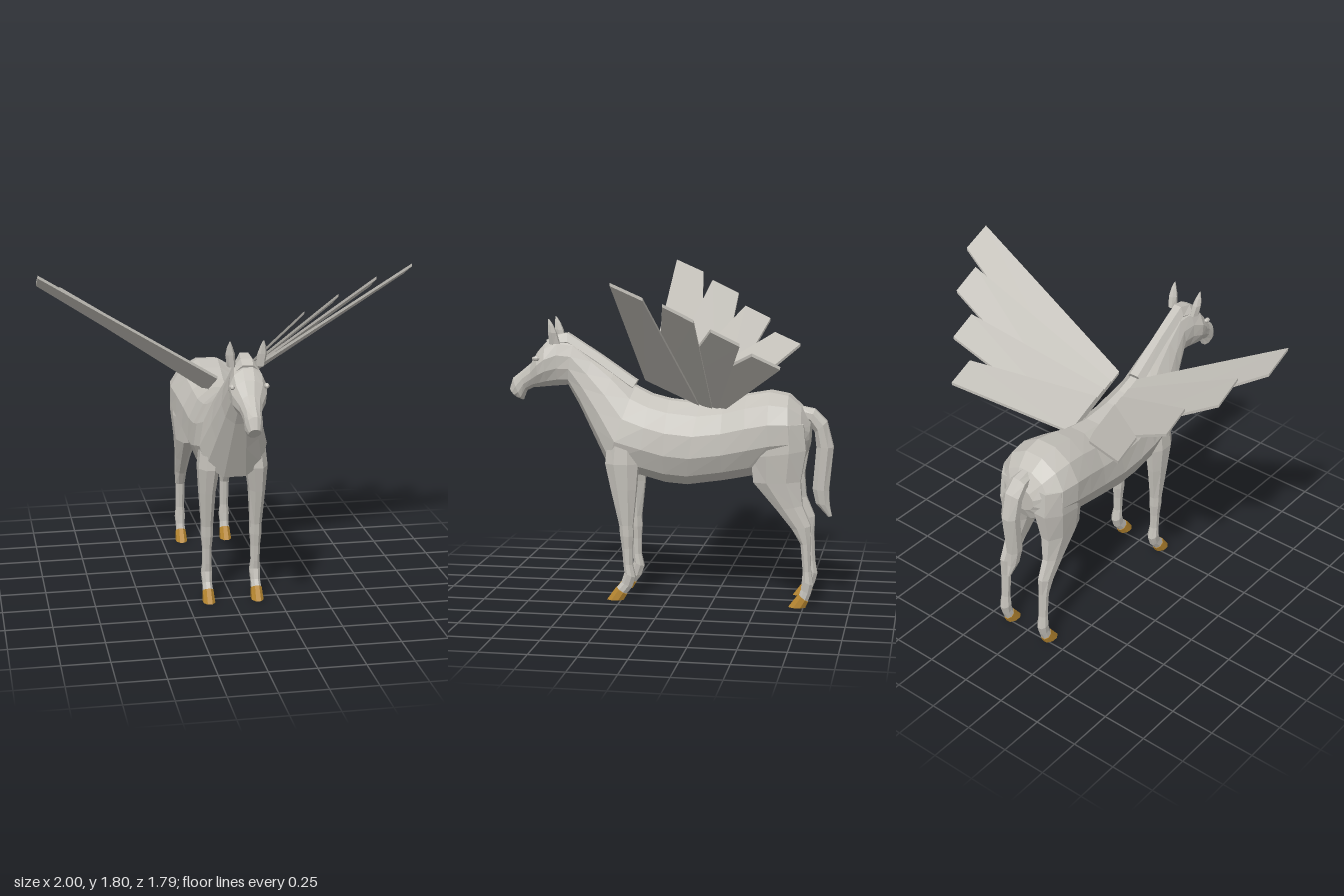
import * as THREE from 'three';

const coat = new THREE.MeshStandardMaterial({ color: 0xc4c1ba, flatShading: true });
coat.name = 'grey coat';
const horn = new THREE.MeshStandardMaterial({ color: 0xb5852f, flatShading: true });
horn.name = 'brown hoof';

// Closed faceted skin over a list of equal-length point rings, wound outwards.
function skin(rings) {
  const tris = [], n = rings[0].length;
  for (let i = 0; i + 1 < rings.length; i++) {
    for (let j = 0; j < n; j++) {
      const k = (j + 1) % n;
      const [a, b, c, d] = [rings[i][j], rings[i][k], rings[i + 1][k], rings[i + 1][j]];
      tris.push([a, b, c], [a, c, d]);
    }
  }
  const first = rings[0], last = rings[rings.length - 1];
  for (let j = 1; j + 1 < n; j++) {
    tris.push([first[0], first[j + 1], first[j]], [last[0], last[j], last[j + 1]]);
  }
  const mid = first[0];
  const volume = tris.reduce((s, [a, b, c]) => s + a.clone().sub(mid).dot(
    b.clone().sub(mid).cross(c.clone().sub(mid))), 0);
  const pos = [];
  for (const [a, b, c] of tris) {
    for (const p of volume > 0 ? [a, b, c] : [a, c, b]) pos.push(p.x, p.y, p.z);
  }
  const g = new THREE.BufferGeometry();
  g.setAttribute('position', new THREE.Float32BufferAttribute(pos, 3));
  g.computeVertexNormals();
  return g;
}

// Section: [z1, y1, z2, y2, halfWidth, taper (narrows end 1), centreX].
function loft(sections, sides = 8, mirror = 1) {
  return skin(sections.map(([z1, y1, z2, y2, w, taper = 0, cx = 0]) =>
    Array.from({ length: sides }, (_, j) => {
      const a = ((j + 0.5) / sides) * Math.PI * 2;
      const c = Math.cos(a) / Math.cos(Math.PI / sides);
      const x = cx + w * Math.sin(a) * (1 - taper * c);
      return new THREE.Vector3(x * mirror,
        (y1 + y2) / 2 + ((y1 - y2) / 2) * c, (z1 + z2) / 2 + ((z1 - z2) / 2) * c);
    })));
}

// Rump, barrel, chest, neck and head: top point, bottom point, width
const bodySections = [
  [-0.77, 1.0, -0.765, 0.86, 0.09],
  [-0.72, 1.08, -0.74, 0.8, 0.16],
  [-0.65, 1.14, -0.68, 0.76, 0.21],
  [-0.55, 1.158, -0.56, 0.73, 0.222],
  [-0.42, 1.135, -0.45, 0.7, 0.208, 0.05],
  [-0.3, 1.1, -0.3, 0.67, 0.192, 0.08],
  [-0.17, 1.085, -0.1, 0.64, 0.185, 0.1],
  [0, 1.1, 0.02, 0.65, 0.185, 0.15],
  [0.1, 1.125, 0.15, 0.685, 0.187, 0.2],
  [0.19, 1.17, 0.33, 0.72, 0.175, 0.3],
  [0.3, 1.26, 0.42, 0.9, 0.13, 0.3],
  [0.42, 1.34, 0.5, 1.06, 0.095, 0.25],
  [0.53, 1.42, 0.565, 1.17, 0.076, 0.15],
  [0.62, 1.435, 0.62, 1.165, 0.083],
  [0.69, 1.4, 0.68, 1.16, 0.098, -0.05],
  [0.735, 1.35, 0.72, 1.155, 0.09, -0.1],
  [0.775, 1.285, 0.765, 1.15, 0.06, -0.1],
  [0.83, 1.24, 0.805, 1.13, 0.048],
  [0.88, 1.2, 0.825, 1.08, 0.046],
  [0.9, 1.14, 0.855, 1.09, 0.032],
];

const maneSections = [
  [0.18, 1.2, 0.22, 1.13, 0.05],
  [0.2, 1.212, 0.25, 1.15, 0.05],
  [0.38, 1.335, 0.42, 1.27, 0.045],
  [0.57, 1.455, 0.56, 1.36, 0.045],
  [0.64, 1.44, 0.62, 1.36, 0.06],
  [0.685, 1.415, 0.66, 1.36, 0.055],
];

const tailSections = [
  [-0.69, 1.085, -0.7, 1.0, 0.04],
  [-0.79, 1.065, -0.76, 0.99, 0.052],
  [-0.855, 1.0, -0.79, 0.94, 0.055],
  [-0.892, 0.86, -0.8, 0.86, 0.052],
  [-0.87, 0.62, -0.782, 0.63, 0.04],
  [-0.875, 0.54, -0.8, 0.55, 0.028],
  [-0.888, 0.48, -0.868, 0.475, 0.008],
];

// Legs: front point, back point, width, taper, centre x
const foreLeg = [
  [0.32, 0.92, 0.16, 0.92, 0.06, 0, 0.115],
  [0.335, 0.76, 0.155, 0.76, 0.062, 0, 0.13],
  [0.305, 0.62, 0.165, 0.62, 0.047, 0, 0.136],
  [0.26, 0.42, 0.185, 0.42, 0.034, 0, 0.134],
  [0.255, 0.36, 0.183, 0.36, 0.034, 0, 0.134],
  [0.245, 0.29, 0.188, 0.29, 0.027, 0, 0.134],
  [0.238, 0.2, 0.188, 0.2, 0.026, 0, 0.134],
  [0.232, 0.155, 0.172, 0.13, 0.032, 0, 0.134],
  [0.25, 0.1, 0.19, 0.075, 0.027, 0, 0.134],
  [0.275, 0.07, 0.222, 0.035, 0.029, 0, 0.134],
];
const hindLeg = [
  [-0.5, 1.0, -0.74, 1.0, 0.09, 0, 0.115],
  [-0.46, 0.82, -0.755, 0.86, 0.093, 0, 0.118],
  [-0.475, 0.68, -0.727, 0.69, 0.066, 0, 0.126],
  [-0.6, 0.535, -0.738, 0.56, 0.044, 0, 0.132],
  [-0.685, 0.43, -0.785, 0.45, 0.036, 0, 0.134],
  [-0.732, 0.35, -0.783, 0.35, 0.029, 0, 0.134],
  [-0.745, 0.2, -0.79, 0.2, 0.026, 0, 0.134],
  [-0.742, 0.15, -0.803, 0.125, 0.032, 0, 0.134],
  [-0.737, 0.1, -0.79, 0.075, 0.027, 0, 0.134],
  [-0.727, 0.07, -0.774, 0.035, 0.029, 0, 0.134],
];
const foreHoof = [[0.278, 0.072, 0.22, 0.032, 0.031, 0, 0.134], [0.33, 0, 0.238, 0, 0.035, 0, 0.134]];
const hindHoof = [[-0.724, 0.072, -0.776, 0.032, 0.031, 0, 0.134], [-0.67, 0, -0.762, 0, 0.035, 0, 0.134]];

const ear = [
  [0.655, 1.4, 0.6, 1.4, 0.022, 0, 0.075],
  [0.66, 1.465, 0.615, 1.46, 0.025, 0, 0.082],
  [0.66, 1.505, 0.632, 1.5, 0.015, 0, 0.085],
  [0.66, 1.535, 0.652, 1.533, 0.003, 0, 0.086],
];

// Feathers: root front z, root rear z, tip x, tip front z and y, tip rear z and y
const feathers = [
  [0.13, -0.165, 1.0, 0.13, 1.785, -0.03, 1.715],
  [0.06, -0.24, 0.87, -0.105, 1.675, -0.26, 1.6],
  [0.0, -0.265, 0.71, -0.32, 1.54, -0.467, 1.47],
  [-0.06, -0.29, 0.557, -0.51, 1.405, -0.655, 1.34],
];

function featherGeometry([rf, rr, tx, tfz, tfy, trz, trY], layer, mirror) {
  const rootY = (z) => 1.15 + 0.45 * z + layer * 0.008;
  const rootFront = new THREE.Vector3(0.06, rootY(rf), rf);
  const rootRear = new THREE.Vector3(0.06, rootY(rr), rr);
  const tipFront = new THREE.Vector3(tx, tfy, tfz);
  const tipRear = new THREE.Vector3(tx, trY, trz);
  const up = new THREE.Vector3(0, 0.016, 0);
  const ring = (f, r) => [f, r, r.clone().add(up), f.clone().add(up)]
    .map((p) => new THREE.Vector3(p.x * mirror, p.y, p.z));
  return skin([ring(rootFront, rootRear), ring(tipFront, tipRear)]);
}

export function createModel() {
  const model = new THREE.Group();
  model.name = 'wingedHorse';
  const add = (name, geometry, material = coat, parent = model) => {
    const mesh = new THREE.Mesh(geometry, material);
    mesh.name = name;
    parent.add(mesh);
    return mesh;
  };

  add('body', loft(bodySections, 12));
  add('mane', loft(maneSections, 6));
  add('tail', loft(tailSections, 8));

  // Paired parts
  for (const [side, m] of [['left', 1], ['right', -1]]) {
    add(side + 'ForeLeg', loft(foreLeg, 8, m));
    add(side + 'HindLeg', loft(hindLeg, 8, m));
    add(side + 'ForeHoof', loft(foreHoof, 8, m), horn);
    add(side + 'HindHoof', loft(hindHoof, 8, m), horn);
    add(side + 'Ear', loft(ear, 6, m));

    const eye = add(side + 'Eye', new THREE.SphereGeometry(0.02, 7, 5));
    eye.scale.set(0.7, 0.7, 1.1);
    eye.position.set(0.088 * m, 1.318, 0.73);

    const wing = new THREE.Group();
    wing.name = side + 'Wing';
    feathers.forEach((f, i) => add('feather' + (i + 1), featherGeometry(f, i, m), coat, wing));
    model.add(wing);
  }
  return model;
}
